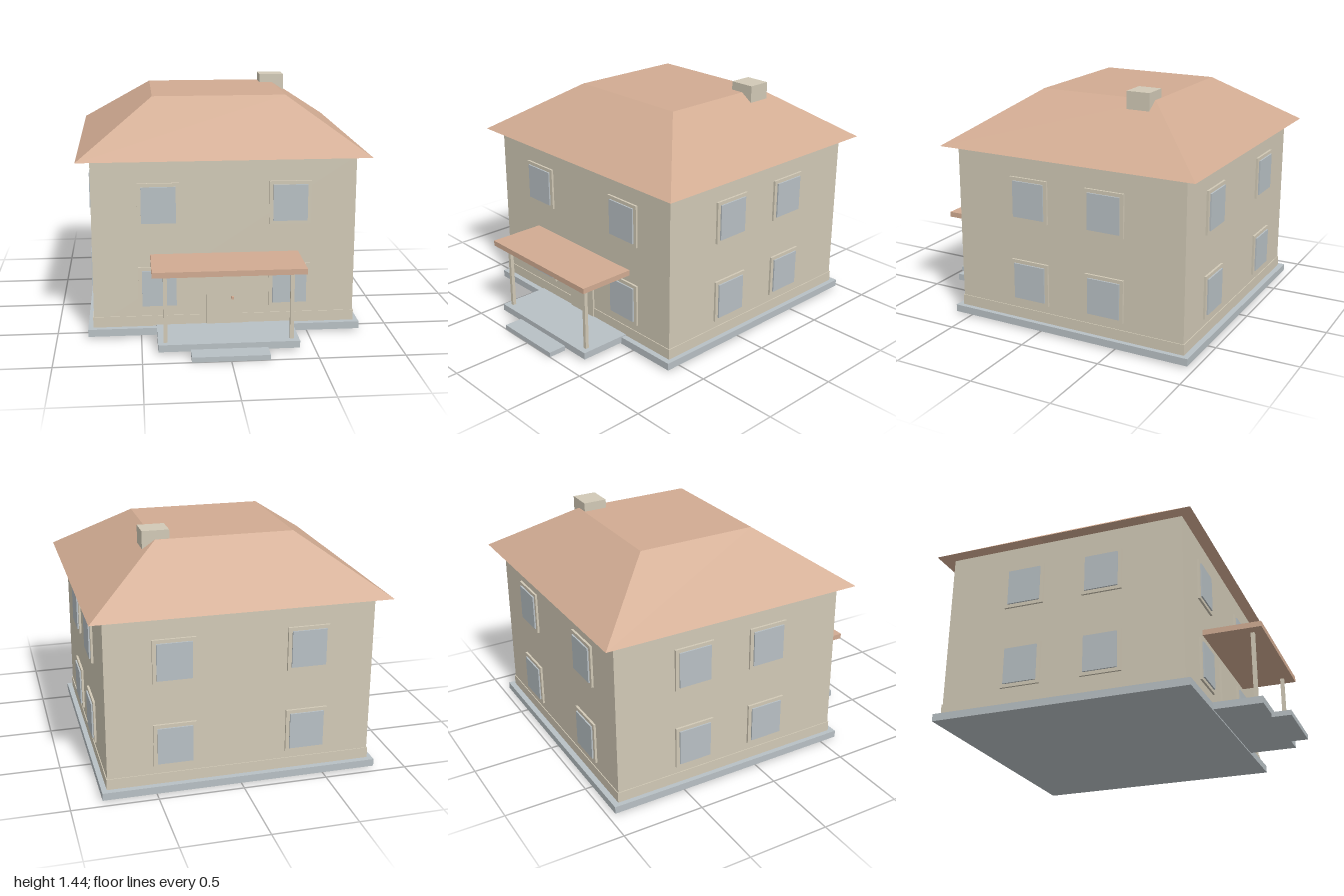
import * as THREE from 'three';

const mat = (name, color, side = THREE.FrontSide) => {
  const m = new THREE.MeshStandardMaterial({ color, side });
  m.name = name;
  return m;
};

export function createModel() {
  const house = new THREE.Group();
  house.name = 'house';
  const wall = mat('wall cream', 0xd1c9b6);
  const tile = mat('roof terracotta', 0xd1ab92, THREE.DoubleSide);
  const slate = mat('pale blue grey', 0xb8c0c4);

  // Box given by its minimum and maximum corners
  const box = (name, m, [x0, y0, z0], [x1, y1, z1], parent = house) => {
    const mesh = new THREE.Mesh(new THREE.BoxGeometry(x1 - x0, y1 - y0, z1 - z0), m);
    mesh.position.set((x0 + x1) / 2, (y0 + y1) / 2, (z0 + z1) / 2);
    mesh.name = name;
    parent.add(mesh);
    return mesh;
  };

  // Walls and foundation
  box('foundation', slate, [-0.815, 0.012, -0.96], [0.815, 0.056, 0.6]);
  box('plinth', wall, [-0.785, 0.056, -0.925], [0.785, 0.12, 0.565]);
  box('walls', wall, [-0.78, 0.056, -0.92], [0.78, 1.075, 0.56]);

  // Hipped roof: an open shell with four slopes and a flat top
  const low = [[-0.86, 0.635], [0.86, 0.635], [0.86, -1], [-0.86, -1]];
  const high = [[-0.408, 0.187], [0.408, 0.187], [0.408, -0.55], [-0.408, -0.55]];
  const at = ([x, z], y) => [x, y, z];
  const pos = [];
  const quad = (a, b, c, d) => pos.push(...a, ...b, ...c, ...a, ...c, ...d);
  for (let i = 0; i < 4; i++) {
    const j = (i + 1) % 4;
    quad(at(low[i], 1.075), at(low[j], 1.075), at(high[j], 1.385), at(high[i], 1.385));
  }
  quad(...high.map((p) => at(p, 1.385)));
  const roofGeo = new THREE.BufferGeometry();
  roofGeo.setAttribute('position', new THREE.Float32BufferAttribute(pos, 3));
  roofGeo.computeVertexNormals();
  const roof = new THREE.Mesh(roofGeo, tile);
  roof.name = 'roof';
  house.add(roof);
  box('chimney', wall, [0.325, 1.31, -0.547], [0.483, 1.438, -0.403]);

  // Windows: a frame with a raised pane, on all four walls and both floors
  const addWindow = (x, y, z, turn) => {
    const w = new THREE.Group();
    w.name = 'window';
    box('windowFrame', wall, [-0.124, -0.13, -0.01], [0.124, 0.13, 0.013], w);
    box('windowPane', slate, [-0.102, -0.109, 0], [0.102, 0.109, 0.022], w);
    w.position.set(x, y, z);
    w.rotation.y = turn;
    house.add(w);
  };
  for (const y of [0.296, 0.804]) {
    for (const s of [-1, 1]) {
      addWindow(s * 0.389, y, 0.56, 0);
      addWindow(s * 0.389, y, -0.92, Math.PI);
      for (const z of [0.07, -0.424]) addWindow(s * 0.78, y, z, s * Math.PI / 2);
    }
  }

  // Door
  box('door', wall, [-0.11, 0.06, 0.55], [0.108, 0.42, 0.572]);
  box('doorKnob', tile, [0.04, 0.217, 0.57], [0.056, 0.233, 0.592]);

  // Porch
  box('porchFloor', slate, [-0.408, 0.02, 0.56], [0.408, 0.062, 0.886]);
  box('porchStep', slate, [-0.223, 0, 0.886], [0.223, 0.03, 1]);
  box('porchRoof', tile, [-0.44, 0.47, 0.56], [0.44, 0.503, 0.907]);
  for (const s of [-1, 1]) {
    box('porchPost', wall, [s * 0.365 - 0.011, 0.062, 0.827], [s * 0.365 + 0.011, 0.47, 0.849]);
  }
  return house;
}
